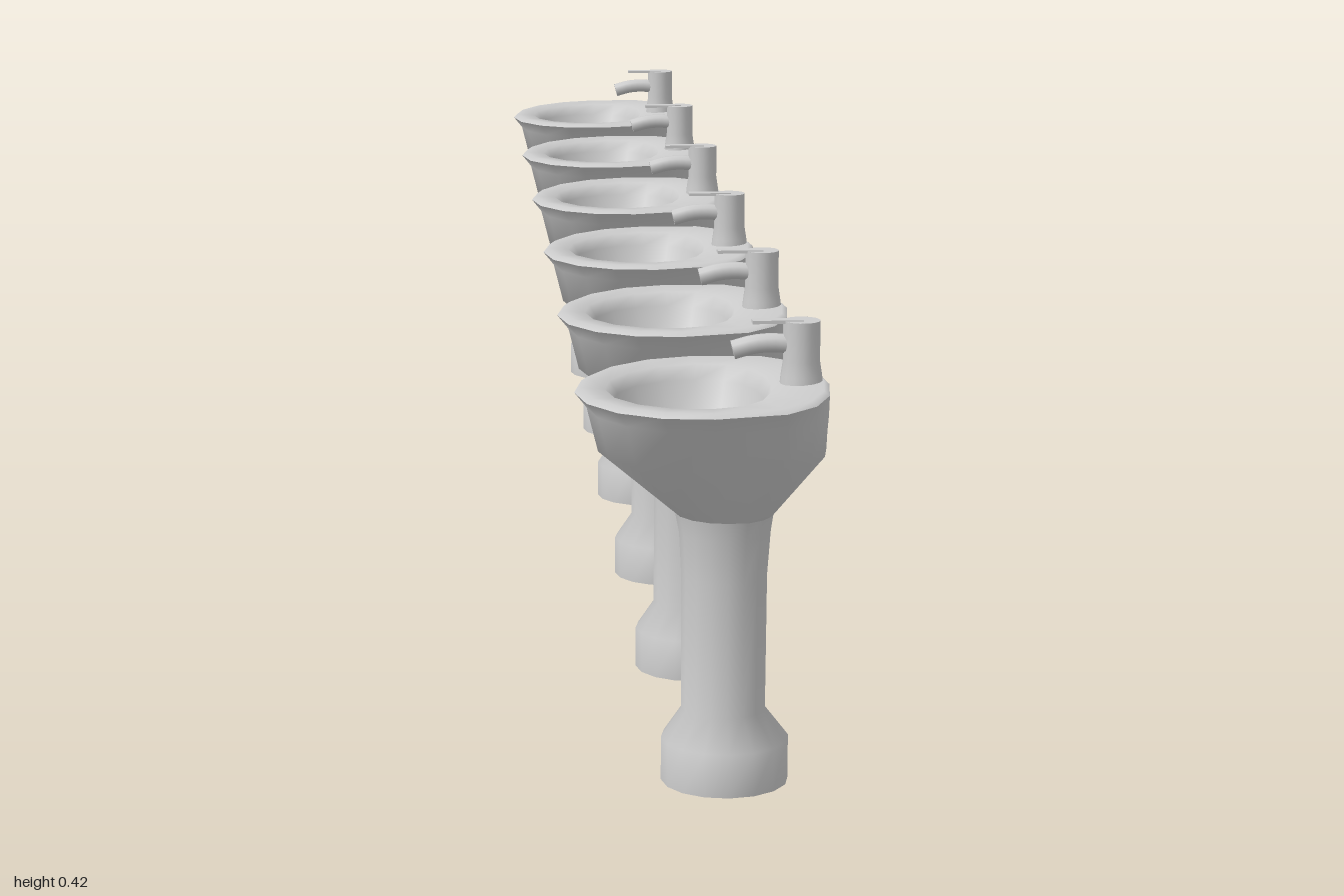
import * as THREE from 'three';

const SIDES = 16;
const porcelain = new THREE.MeshStandardMaterial({ color: 0xcccccc, side: THREE.DoubleSide });
porcelain.name = 'porcelainGrey';

// Skin through horizontal rings [y, centreX, frontX, backX, halfWidth, backSquareness, tilt]
function loft(rings) {
  const pos = [], idx = [];
  for (const [y, cx, front, back, half, power = 1, tilt = 0] of rings) {
    for (let j = 0; j < SIDES; j++) {
      const t = (j / SIDES) * Math.PI * 2, c = Math.cos(t);
      const x = c > 1e-6 ? cx + (back - cx) * Math.pow(c, power) : cx + (cx - front) * c;
      pos.push(x, y + tilt * x, half * Math.sin(t));
    }
  }
  for (let i = 0; i < rings.length - 1; i++) {
    for (let j = 0; j < SIDES; j++) {
      const k = (j + 1) % SIDES;
      const a = i * SIDES + j, b = i * SIDES + k, c = a + SIDES, d = b + SIDES;
      idx.push(a, c, b, b, c, d);
    }
  }
  const g = new THREE.BufferGeometry();
  g.setAttribute('position', new THREE.Float32BufferAttribute(pos, 3));
  g.setIndex(idx);
  g.computeVertexNormals();
  return g;
}

// Open-bottomed pedestal with a wider foot
const pedestal = loft([
  [0, 0.02, -0.037, 0.078, 0.057],
  [0.04, 0.02, -0.037, 0.078, 0.057],
  [0.067, 0.02, -0.019, 0.057, 0.036],
  [0.19, 0.02, -0.019, 0.058, 0.036],
  [0.23, 0.02, -0.021, 0.061, 0.038],
  [0.25, 0.02, -0.025, 0.064, 0.042],
]);

// Outside of the basin, squared off at the back
const bowlOutside = loft([
  [0.247, 0.02, -0.023, 0.063, 0.041, 0.9],
  [0.305, 0.008, -0.093, 0.110, 0.086, 0.65],
  [0.345, 0.002, -0.103, 0.112, 0.110, 0.6],
  [0.361, 0, -0.114, 0.112, 0.125, 0.6, 0.02],
]);

// Rim, tap deck and hollow of the basin
const bowlInside = loft([
  [0.361, 0, -0.114, 0.112, 0.125, 0.6, 0.02],
  [0.365, 0, -0.108, 0.107, 0.119, 0.6, 0.02],
  [0.363, 0, -0.087, 0.060, 0.093, 0.75, 0.02],
  [0.350, 0, -0.080, 0.055, 0.085, 0.8],
  [0.315, 0, -0.064, 0.047, 0.068, 0.9],
  [0.290, 0, -0.038, 0.033, 0.040],
  [0.283, 0, -0.001, 0.001, 0.001],
]);

// Tap body standing on the deck
const tapBody = new THREE.LatheGeometry(
  [[0.020, 0.358], [0.0185, 0.372], [0.0165, 0.385], [0.0165, 0.421]]
    .map(([r, y]) => new THREE.Vector2(r, y)), 14);
const tapCap = new THREE.CircleGeometry(0.0165, 14).rotateX(-Math.PI / 2);

// Arched spout reaching over the bowl
const spoutPath = new THREE.CatmullRomCurve3([
  new THREE.Vector3(0.086, 0.398, 0), new THREE.Vector3(0.065, 0.401, 0),
  new THREE.Vector3(0.045, 0.400, 0), new THREE.Vector3(0.026, 0.395, 0)]);
const spout = new THREE.TubeGeometry(spoutPath, 8, 0.0085, 10);
const spoutEnd = new THREE.CircleGeometry(0.0085, 10).rotateY(-Math.PI / 2);

// Flat lever on top
const lever = new THREE.BoxGeometry(0.045, 0.003, 0.012);

function createSink() {
  const sink = new THREE.Group();
  const add = (name, geometry, x = 0, y = 0) => {
    const m = new THREE.Mesh(geometry, porcelain);
    m.name = name;
    m.position.set(x, y, 0);
    sink.add(m);
    return m;
  };
  add('pedestal', pedestal);
  add('bowlOutside', bowlOutside);
  add('bowlInside', bowlInside);
  add('tapBody', tapBody, 0.087);
  add('tapCap', tapCap, 0.087, 0.421);
  add('spout', spout);
  add('spoutEnd', spoutEnd, 0.026, 0.395).rotation.z = 0.25;
  add('lever', lever, 0.0655, 0.4205);
  return sink;
}

export function createModel() {
  const model = new THREE.Group();
  model.name = 'sinkRow';
  // Six identical sinks in a row
  for (let i = 0; i < 6; i++) {
    const sink = createSink();
    sink.name = 'sink' + (i + 1);
    sink.position.z = (i - 2.5) * 0.35;
    model.add(sink);
  }
  return model;
}
